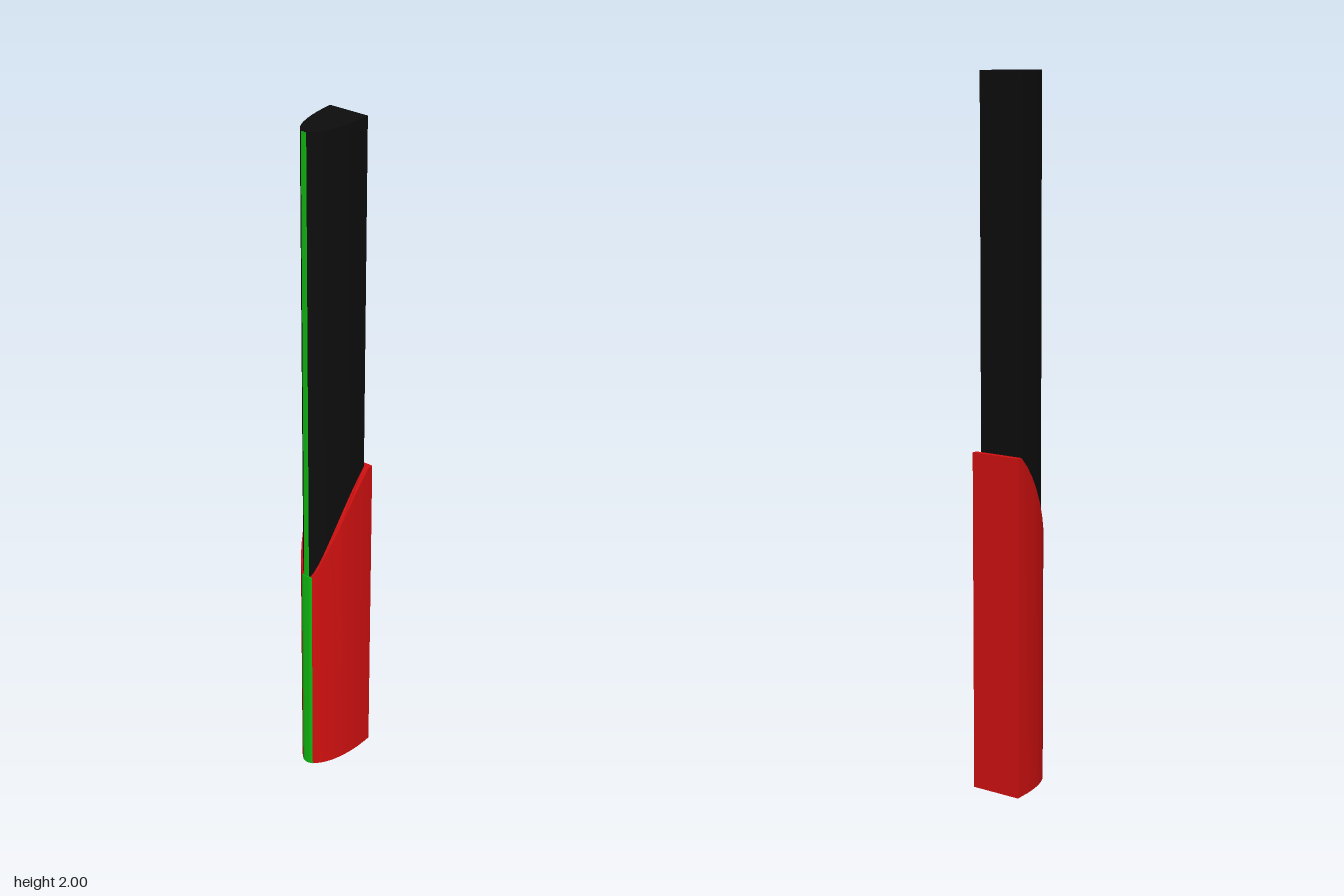
import * as THREE from 'three';
import { toCreasedNormals } from 'three/addons/utils/BufferGeometryUtils.js';

const BACK = -0.085; // z of the flat back of the core
const red = new THREE.MeshStandardMaterial({ color: 0xd01010 });
const green = new THREE.MeshStandardMaterial({ color: 0x11b911 });
const black = new THREE.MeshStandardMaterial({ color: 0x0d0d0d });

// Points along a half-ellipse bulging to the front, between angles -t and t
function arc(a, b, t = Math.PI / 2, n = 20) {
  return Array.from({ length: n + 1 }, (_, i) => {
    const s = -t + (2 * t * i) / n;
    return new THREE.Vector2(a * Math.sin(s), -(BACK + b * Math.cos(s)));
  });
}

// Extrudes a plan outline upward from y0 to y1; topAt(z) can shape the upper rim
function upright(name, points, y0, y1, material, hole, topAt) {
  const shape = new THREE.Shape(points);
  if (hole) shape.holes.push(new THREE.Path(hole));
  const geo = new THREE.ExtrudeGeometry(shape, { depth: y1 - y0, bevelEnabled: false });
  geo.rotateX(-Math.PI / 2).translate(0, y0, 0);
  if (topAt) {
    const p = geo.attributes.position;
    for (let i = 0; i < p.count; i++) {
      if (p.getY(i) > (y0 + y1) / 2) p.setY(i, topAt(p.getZ(i)));
    }
  }
  const mesh = new THREE.Mesh(toCreasedNormals(geo, 0.5), material);
  mesh.name = name;
  return mesh;
}

// Sweeping rim of the sleeve: high at the back, low at the front
function rimHeight(z) {
  const u = Math.max(0, (z - BACK) / 0.185);
  return 0.97 - 0.165 * u - 0.145 * u * u;
}

export function createModel() {
  const group = new THREE.Group();
  const core = arc(0.06, 0.183);
  const sleeve = [
    new THREE.Vector2(-0.076, 0.102),
    ...arc(0.076, 0.185),
    new THREE.Vector2(0.076, 0.102),
  ];

  // Tall dark blade
  group.add(upright('blade', core, 0.005, 2, black));

  // Sleeve around the lower half, with a closed base
  group.add(upright('sleeve', sleeve, 0.004, 0.97, red, core, rimHeight));
  group.add(upright('sleeveBase', sleeve, 0, 0.004, red));

  // Front stripes: wide on the sleeve, narrow on the blade
  group.add(upright('sleeveStripe', arc(0.0775, 0.187, 0.235, 8), 0, 0.675, green));
  group.add(upright('bladeStripe', arc(0.061, 0.1845, 0.14, 6), 0.6, 2, green));

  return group;
}
